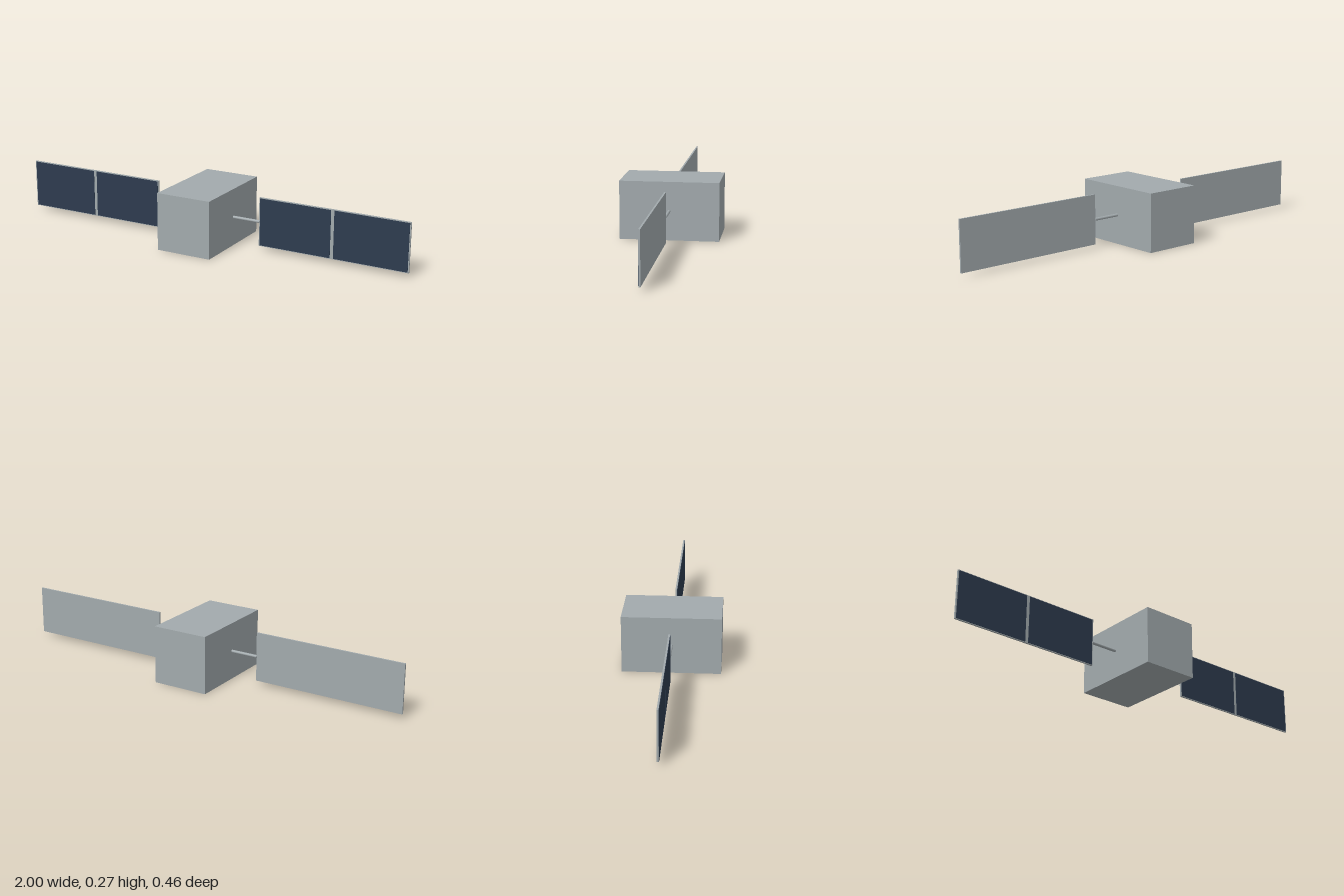
import * as THREE from 'three';

export function createModel() {
  const model = new THREE.Group();
  const hull = new THREE.MeshStandardMaterial({ color: 0xa2aaad });
  hull.name = 'hull grey';
  const solar = new THREE.MeshStandardMaterial({ color: 0x2d3b4e });
  solar.name = 'solar navy';

  const midY = 0.137;

  function add(parent, name, geometry, material, x, y, z) {
    const mesh = new THREE.Mesh(geometry, material);
    mesh.name = name;
    mesh.position.set(x, y, z);
    parent.add(mesh);
    return mesh;
  }

  // Main box, standing on the ground
  add(model, 'body', new THREE.BoxGeometry(0.272, 0.274, 0.462), hull, 0, midY, 0);

  // One wing on each side: boom, backing panel and two cell plates
  for (const side of [1, -1]) {
    const wing = new THREE.Group();
    wing.name = side > 0 ? 'leftWing' : 'rightWing';
    wing.position.y = midY;
    model.add(wing);

    const boom = add(wing, 'boom', new THREE.CylinderGeometry(0.007, 0.007, 0.142, 12), hull, side * 0.201, 0, 0);
    boom.rotation.z = Math.PI / 2;

    add(wing, 'panel', new THREE.BoxGeometry(0.73, 0.233, 0.008), hull, side * 0.635, 0, -0.0005);

    for (const offset of [-0.184, 0.184]) {
      add(wing, 'solarCells', new THREE.BoxGeometry(0.352, 0.226, 0.002), solar, side * 0.635 + offset, 0, 0.004);
    }
  }

  return model;
}
